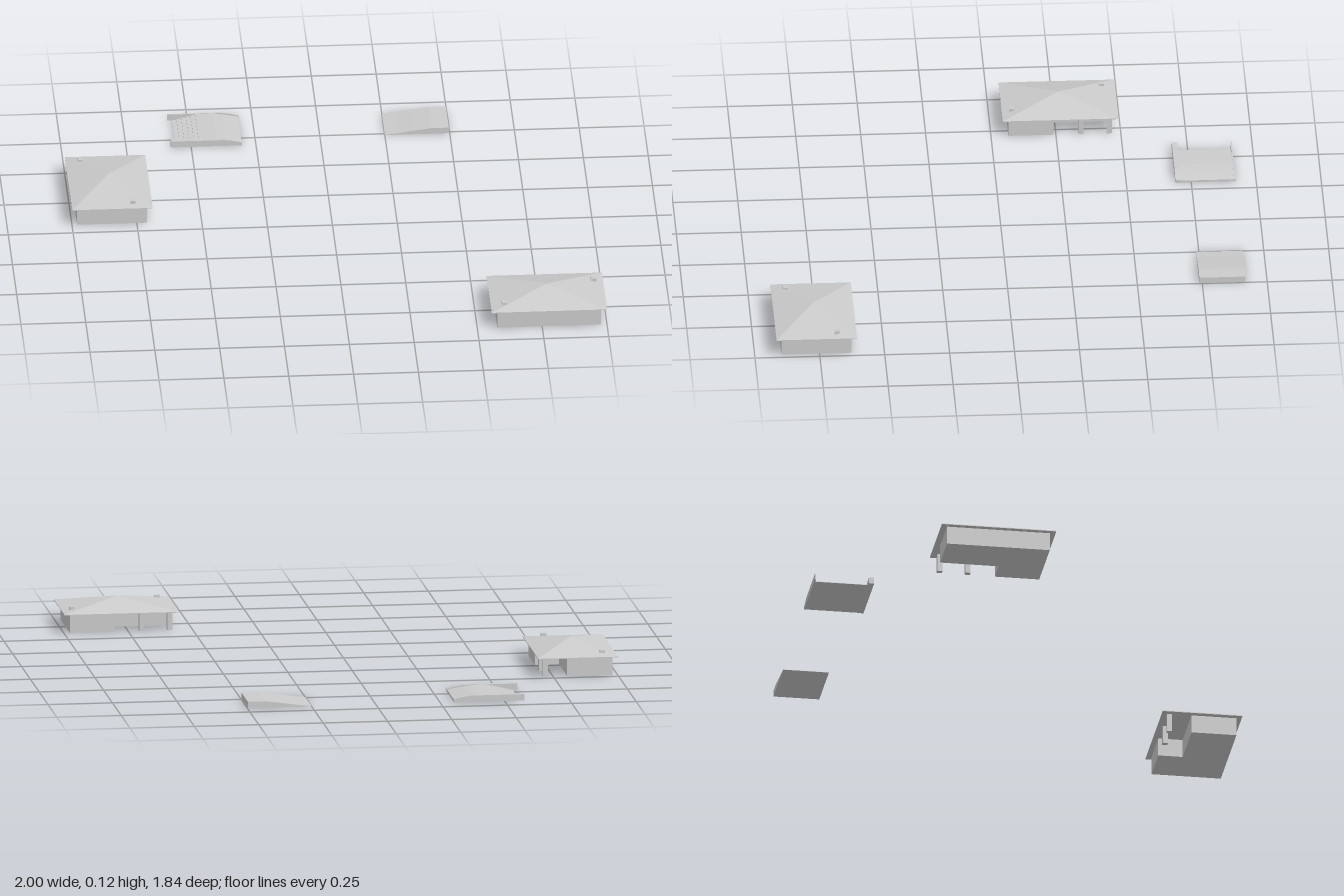
import * as THREE from 'three';

const mat = new THREE.MeshStandardMaterial({ color: 0xcccccc, flatShading: true });

function add(parent, name, geometry, x = 0, y = 0, z = 0) {
  const mesh = new THREE.Mesh(geometry, mat);
  mesh.name = name;
  mesh.position.set(x, y, z);
  parent.add(mesh);
  return mesh;
}

function extrude(points, depth) {
  const shape = new THREE.Shape(points.map(([a, b]) => new THREE.Vector2(a, b)));
  return new THREE.ExtrudeGeometry(shape, { depth, bevelEnabled: false });
}

// Bungalow with a recessed porch at its +x, -z corner
function house(name) {
  const g = new THREE.Group();
  g.name = name;
  const wallH = 0.072, eaveH = 0.003;

  // L-shaped walls, drawn as (x, -z) and stood upright
  const plan = [[-0.135, -0.2], [0.135, -0.2], [0.135, -0.027], [0.04, -0.027], [0.04, 0.2], [-0.135, 0.2]];
  add(g, 'walls', extrude(plan, wallH).rotateX(-Math.PI / 2));

  // Porch posts
  for (const z of [-0.08, -0.189])
    add(g, 'porchPost', new THREE.BoxGeometry(0.02, wallH, 0.02), 0.125, wallH / 2, z);

  // Thin eaves and a pyramid roof
  add(g, 'eaves', new THREE.BoxGeometry(0.31, eaveH, 0.445), 0, wallH + eaveH / 2, 0);
  const roof = new THREE.ConeGeometry(Math.SQRT1_2, 1, 4, 1, true).rotateY(Math.PI / 4);
  roof.scale(0.31, 0.04, 0.445);
  add(g, 'roof', roof, 0, wallH + eaveH + 0.02, 0);

  // Two chimneys at opposite corners
  for (const [x, z] of [[-0.1, -0.17], [0.08, 0.185]])
    add(g, 'chimney', new THREE.BoxGeometry(0.02, 0.02, 0.02), x, 0.083, z);
  return g;
}

// Hump with steps on one side and a slope on the other, between two kerbs
function steppedRamp() {
  const g = new THREE.Group();
  g.name = 'steppedRamp';
  const top = 0.024, steps = 5;
  const profile = [[-0.305, 0], [-0.305, 0.008], [-0.34, 0.015], [-0.37, 0.02], [-0.4, top]];
  for (let i = 0; i < steps; i++) {
    const x = -0.47 - i * 0.018;
    profile.push([x, top - i * 0.0045], [x, top - (i + 1) * 0.0045]);
  }
  profile.push([-0.56, 0.0015], [-0.56, 0]);
  add(g, 'surface', extrude(profile, 0.206), 0, 0, -0.915);

  const kerb = [[-0.578, 0], [-0.303, 0], [-0.303, 0.012], [-0.335, 0.02], [-0.37, 0.025], [-0.578, 0.025]];
  add(g, 'frontKerb', extrude(kerb, 0.02), 0, 0, -0.709);
  add(g, 'backKerb', extrude(kerb, 0.005), 0, 0, -0.92);
  return g;
}

export function createModel() {
  const model = new THREE.Group();
  model.name = 'model';

  const sideHouse = house('sideHouse');
  sideHouse.position.set(-0.845, 0, -0.267);
  model.add(sideHouse);

  const frontHouse = house('frontHouse');
  frontHouse.position.set(0.777, 0, 0.762);
  frontHouse.rotation.y = Math.PI / 2;
  model.add(frontHouse);

  model.add(steppedRamp());

  // Plain wedge ramp
  const wedge = [[0.25, 0], [0.497, 0], [0.497, 0.024], [0.43, 0.024], [0.36, 0.015], [0.3, 0.006], [0.25, 0.001]];
  add(model, 'wedgeRamp', extrude(wedge, 0.178), 0, 0, -0.917);

  return model;
}
